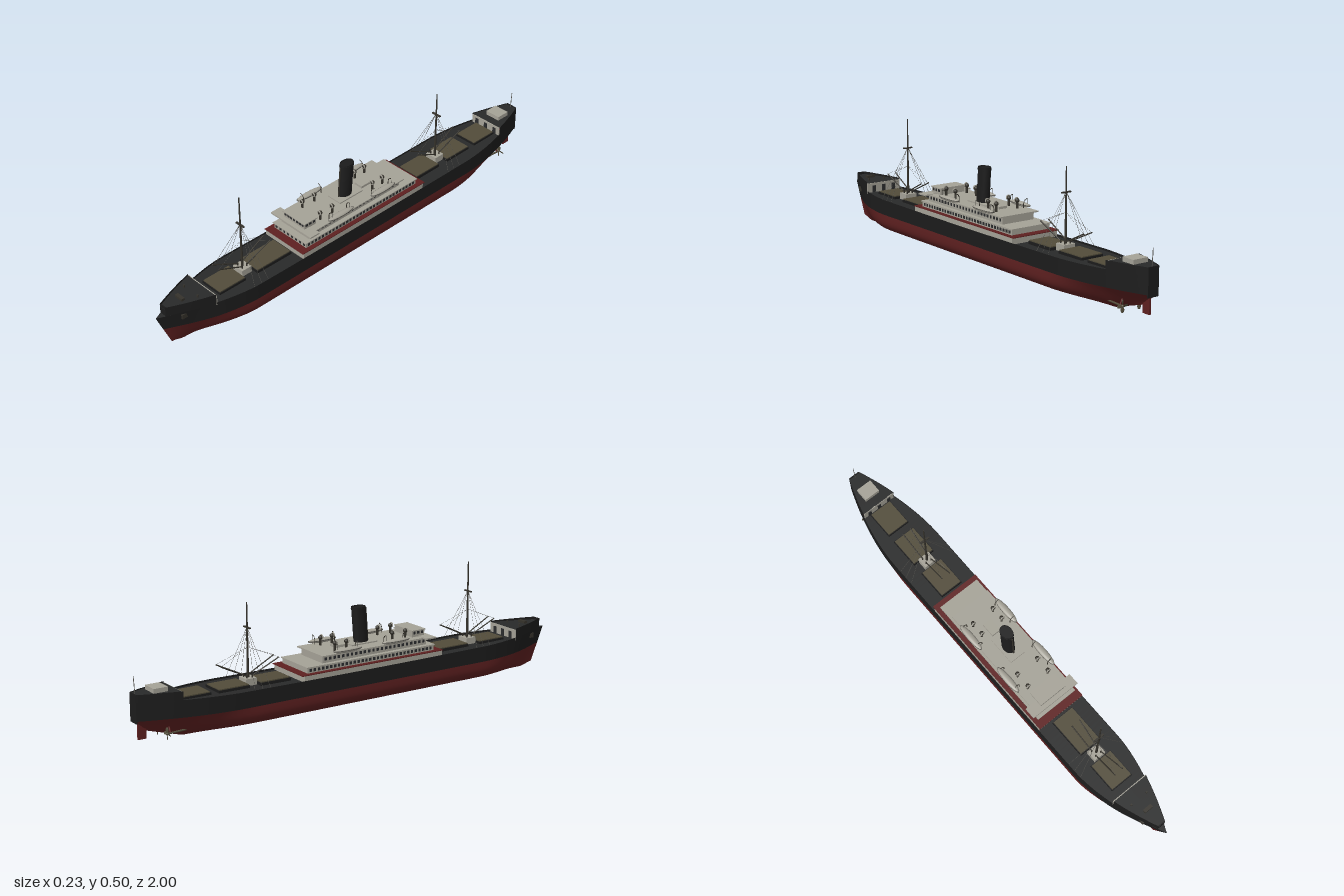
import * as THREE from 'three';

const mat = (name, color, side = THREE.FrontSide) => {
  const m = new THREE.MeshStandardMaterial({ color, side });
  m.name = name;
  return m;
};
const D = THREE.DoubleSide;
const M = {
  red: mat('hull red', 0x5e2020, D), black: mat('hull black', 0x1c1c1c, D),
  deck: mat('deck grey', 0x282929, D), white: mat('house off-white', 0xa5a297),
  hatch: mat('hatch olive', 0x524c3a), glass: mat('window dark', 0x2b2c2e),
  spar: mat('spar brown', 0x35322b), rope: mat('rigging grey', 0x5c5a54),
};

// hull form: plan width, keel line, sheer line and raked stem
const ss = THREE.MathUtils.smoothstep, lerp = THREE.MathUtils.lerp;
const WL = 0.095;
const width = z => z > 0.58 ? 0.115 * (1 - Math.min(1, (z - 0.58) / 0.42) ** 1.7)
  : z < -0.58 ? 0.115 * (1 - 0.78 * ((-z - 0.58) / 0.42) ** 1.8) : 0.115;
const keel = z => z < -0.8 ? 0.3 * (-z - 0.8) + 0.025 * ss(-z, 0.95, 1) : 0.015 * ss(z, 0.94, 1);
const sheer = z => 0.158 + 0.008 * z * z;
const rake = (z, y) => z - 0.07 * Math.max(0, 1 - y / 0.165) * ss(z, 0.72, 1);

export function createModel() {
  const ship = new THREE.Group();
  ship.name = 'steamship';

  const add = (name, geo, m, x = 0, y = 0, z = 0, parent = ship) => {
    const mesh = new THREE.Mesh(geo, m);
    mesh.name = name;
    mesh.position.set(x, y, z);
    parent.add(mesh);
    return mesh;
  };
  const box = (name, m, x0, x1, y0, y1, z0, z1) =>
    add(name, new THREE.BoxGeometry(x1 - x0, y1 - y0, z1 - z0), m, (x0 + x1) / 2, (y0 + y1) / 2, (z0 + z1) / 2);
  const rod = (name, m, a, b, r, r2 = r, sides = 8) => {
    const A = new THREE.Vector3(...a), B = new THREE.Vector3(...b), d = B.clone().sub(A);
    const mesh = add(name, new THREE.CylinderGeometry(r2, r, d.length(), sides), m);
    mesh.position.copy(A).add(B).multiplyScalar(0.5);
    mesh.quaternion.setFromUnitVectors(new THREE.Vector3(0, 1, 0), d.normalize());
    return mesh;
  };
  // surface from a rule f(u, v) -> [x, y, z]
  const sheet = (name, m, nu, nv, f) => {
    const pos = [], idx = [];
    for (let i = 0; i <= nu; i++) for (let j = 0; j <= nv; j++) {
      pos.push(...f(i / nu, j / nv));
      if (i < nu && j < nv) {
        const a = i * (nv + 1) + j, b = a + nv + 1;
        idx.push(a, a + 1, b, b, a + 1, b + 1);
      }
    }
    const g = new THREE.BufferGeometry();
    g.setAttribute('position', new THREE.Float32BufferAttribute(pos, 3));
    g.setIndex(idx);
    g.computeVertexNormals();
    return add(name, g, m);
  };
  const sides = (name, m, z0, z1, lo, hi, n = 40) => {
    for (const s of [1, -1]) sheet(name, m, n, 3, (u, v) => {
      const z = s > 0 ? lerp(z0, z1, u) : lerp(z1, z0, u);
      const y = lerp(lo(z), hi(z), v);
      return [s * width(z), y, rake(z, y)];
    });
  };
  const flat = (name, m, z0, z1, y, n = 40) => sheet(name, m, n, 2, (u, v) => {
    const z = lerp(z0, z1, u);
    return [(1 - 2 * v) * width(z) * -1, y(z), z];
  }).geometry;

  // underwater hull
  for (const s of [1, -1]) sheet('lowerHull', M.red, 100, 16, (u, v) => {
    const z = s * lerp(-1, 1, u), t = v ** 1.5;
    const round = (1 - (1 - t) ** 4) ** 0.7;
    const fine = Math.max(ss(-z, 0.5, 1), 0.7 * ss(z, 0.6, 1));
    const y = lerp(keel(z), WL, t);
    return [s * width(z) * lerp(round, t ** 1.3, fine), y, rake(z, y)];
  });
  // topsides, raised ends and decks
  sides('upperHull', M.black, -1, 1, () => WL, sheer, 100);
  sides('forecastleSide', M.black, 0.775, 0.965, sheer, z => 0.202 + 0.03 * (z - 0.775));
  sides('poopSide', M.black, -1, -0.83, sheer, () => 0.198);
  flat('mainDeck', M.deck, -0.84, 0.78, z => sheer(z) - 0.008, 80);
  flat('stemDeck', M.deck, 0.94, 1, z => sheer(z) - 0.001, 12);
  flat('forecastleDeck', M.deck, 0.775, 0.965, () => 0.196);
  flat('poopDeck', M.deck, -1, -0.83, () => 0.194);
  box('sternPlate', M.black, -0.0253, 0.0253, 0.084, 0.198, -1, -0.996);
  box('forecastleFront', M.black, -0.0158, 0.0158, 0.165, 0.207, 0.96, 0.964);
  box('forecastleBulkhead', M.white, -0.084, 0.084, 0.15, 0.196, 0.772, 0.776);
  box('poopBulkhead', M.white, -0.077, 0.077, 0.15, 0.194, -0.832, -0.828);
  for (const x of [-0.05, 0, 0.05]) {
    box('forecastleDoor', M.glass, x - 0.008, x + 0.008, 0.156, 0.185, 0.769, 0.772);
    box('poopDoor', M.glass, x - 0.008, x + 0.008, 0.156, 0.185, -0.828, -0.825);
  }
  box('poopHouse', M.white, -0.035, 0.035, 0.194, 0.212, -0.93, -0.87);
  rod('ensignStaff', M.rope, [0, 0.194, -0.99], [0, 0.265, -0.994], 0.0015);
  box('windlass', M.spar, -0.02, 0.02, 0.196, 0.206, 0.875, 0.89);
  for (const s of [1, -1]) {
    rod('bollard', M.spar, [s * 0.04, 0.196, 0.83], [s * 0.04, 0.206, 0.83], 0.004);
    box('anchor', M.spar, s * 0.041 - 0.004, s * 0.041 + 0.004, 0.135, 0.155, 0.885, 0.91);
  }

  // cargo hatches
  for (const [z0, z1] of [[0.37, 0.54], [0.605, 0.73], [-0.82, -0.7], [-0.66, -0.53], [-0.475, -0.345]]) {
    box('hatchCoaming', M.black, -0.052, 0.052, 0.148, 0.163, z0 - 0.003, z1 + 0.003);
    box('hatchCover', M.hatch, -0.049, 0.049, 0.16, 0.167, z0, z1);
  }

  // masts with derricks, crosstrees and shrouds
  for (const [z, top] of [[0.575, 0.505], [-0.505, 0.478]]) {
    rod('mast', M.spar, [0, 0.15, z], [0, top, z], 0.0055, 0.0025, 10);
    box('mastHouse', M.white, -0.027, 0.027, 0.148, 0.18, z - 0.024, z + 0.024);
    box('crosstree', M.spar, -0.022, 0.022, 0.376, 0.381, z - 0.004, z + 0.004);
    for (const s of [1, -1]) {
      for (const d of [1, -1]) {
        rod('derrick', M.spar, [s * 0.013, 0.188, z + d * 0.012], [s * 0.02, 0.245, z + d * 0.13], 0.0025);
        rod('derrickPost', M.spar, [s * 0.013, 0.18, z + d * 0.012], [s * 0.013, 0.194, z + d * 0.012], 0.003);
        rod('toppingLift', M.rope, [s * 0.02, 0.245, z + d * 0.13], [0, 0.3, z], 0.0005, 0.0005, 4);
      }
      for (const d of [-0.035, 0, 0.035])
        rod('shroud', M.rope, [s * 0.112, 0.16, z + d], [s * 0.003, 0.377, z], 0.0007, 0.0007, 4);
    }
  }

  // superstructure tiers
  box('lowerTier', M.white, -0.112, 0.112, 0.15, 0.177, -0.315, 0.355);
  box('promenadeDeck', M.red, -0.1125, 0.1125, 0.177, 0.18, -0.325, 0.36);
  box('middleTier', M.white, -0.093, 0.093, 0.18, 0.202, -0.29, 0.325);
  box('middleRoof', M.white, -0.097, 0.097, 0.201, 0.205, -0.295, 0.33);
  box('upperTier', M.white, -0.077, 0.077, 0.205, 0.234, -0.21, 0.3);
  box('boatDeck', M.white, -0.093, 0.093, 0.234, 0.239, -0.22, 0.31);
  box('bridgeWings', M.white, -0.115, 0.115, 0.235, 0.241, 0.272, 0.322);
  box('wheelhouse', M.white, -0.06, 0.06, 0.239, 0.265, 0.24, 0.302);
  box('wheelhouseRoof', M.white, -0.064, 0.064, 0.264, 0.268, 0.237, 0.306);
  box('skylight', M.white, -0.02, 0.02, 0.239, 0.249, -0.11, -0.05);
  box('funnelCasing', M.white, -0.035, 0.035, 0.239, 0.244, -0.04, 0.085);

  // windows: rows along the sides and across the fronts
  const sideWindows = (x, y, z0, z1, n, w, h) => {
    for (let i = 0; i < n; i++) for (const s of [1, -1]) {
      const z = lerp(z0, z1, i / (n - 1));
      box('sideWindow', M.glass, s * x - 0.001, s * x + 0.001, y - h / 2, y + h / 2, z - w / 2, z + w / 2);
    }
  };
  const endWindows = (z, y, half, n, w, h) => {
    for (let i = 0; i < n; i++) {
      const x = lerp(-half, half, i / (n - 1));
      box('endWindow', M.glass, x - w / 2, x + w / 2, y - h / 2, y + h / 2, z - 0.001, z + 0.001);
    }
  };
  sideWindows(0.093, 0.191, -0.275, 0.31, 32, 0.011, 0.012);
  sideWindows(0.077, 0.221, -0.195, 0.285, 24, 0.011, 0.012);
  sideWindows(0.06, 0.256, 0.252, 0.29, 3, 0.011, 0.011);
  endWindows(0.3, 0.222, 0.062, 8, 0.011, 0.012);
  endWindows(0.302, 0.256, 0.05, 7, 0.011, 0.011);
  endWindows(0.325, 0.191, 0.08, 8, 0.01, 0.011);

  // raked oval funnel with an open, dark top
  const shear = g => {
    const p = g.attributes.position;
    for (let i = 0; i < p.count; i++) p.setZ(i, p.getZ(i) * 1.35 - 0.08 * p.getY(i));
    g.computeVertexNormals();
    return g;
  };
  add('funnel', shear(new THREE.CylinderGeometry(0.0235, 0.0235, 0.15, 28, 1, true)), M.black, 0, 0.315, 0.02);
  add('funnelBand', shear(new THREE.CylinderGeometry(0.0248, 0.0248, 0.006, 28)), M.black, 0, 0.381, 0.0147);
  rod('steamPipe', M.spar, [0, 0.239, 0.06], [0, 0.38, 0.05], 0.003);

  // cowl ventilators
  for (const s of [1, -1]) for (const z of [0.21, 0.145, -0.08, -0.135]) {
    rod('ventTrunk', M.spar, [s * 0.052, 0.239, z], [s * 0.052, 0.27, z], 0.005);
    add('ventCowl', new THREE.SphereGeometry(0.009, 12, 8), M.spar, s * 0.052, 0.271, z);
    add('ventRim', new THREE.TorusGeometry(0.0085, 0.0025, 6, 14), M.white, s * 0.052, 0.273, z + 0.006);
  }

  // lifeboats under davits
  for (const s of [1, -1]) for (const z of [0.135, -0.1]) {
    const boat = add('lifeboat', new THREE.SphereGeometry(1, 16, 10), M.white, s * 0.092, 0.247, z);
    boat.scale.set(0.015, 0.01, 0.068);
    const rail = add('boatGunwale', new THREE.CylinderGeometry(1, 1, 1, 20), M.rope, s * 0.092, 0.248, z);
    rail.scale.set(0.0155, 0.003, 0.068);
    for (const d of [-0.048, 0.048]) {
      const path = new THREE.CatmullRomCurve3([[0.074, 0.239], [0.075, 0.262], [0.082, 0.272], [0.092, 0.276]]
        .map(([x, y]) => new THREE.Vector3(s * x, y, z + d)));
      add('davit', new THREE.TubeGeometry(path, 10, 0.0016, 6), M.spar);
      rod('boatFall', M.rope, [s * 0.092, 0.276, z + d], [s * 0.092, 0.25, z + d], 0.0006, 0.0006, 4);
    }
  }

  // rudder and twin screws
  box('rudder', M.red, -0.004, 0.004, 0.015, 0.1, -0.985, -0.95);
  for (const s of [1, -1]) {
    rod('propellerShaft', M.hatch, [s * 0.04, 0.03, -0.885], [s * 0.035, 0.032, -0.78], 0.004);
    rod('shaftStrut', M.red, [s * 0.04, 0.03, -0.868], [s * 0.02, 0.075, -0.868], 0.003);
    const screw = new THREE.Group();
    screw.name = 'propeller';
    screw.position.set(s * 0.04, 0.03, -0.882);
    ship.add(screw);
    add('propellerHub', new THREE.SphereGeometry(0.006, 10, 8), M.hatch, 0, 0, 0, screw);
    for (let i = 0; i < 4; i++) {
      const arm = new THREE.Group();
      arm.name = 'bladeArm';
      arm.rotation.z = i * Math.PI / 2;
      screw.add(arm);
      const blade = add('propellerBlade', new THREE.SphereGeometry(1, 10, 6), M.hatch, 0, 0.0145, 0, arm);
      blade.scale.set(0.007, 0.012, 0.0015);
      blade.rotation.y = 0.5;
    }
  }
  return ship;
}
